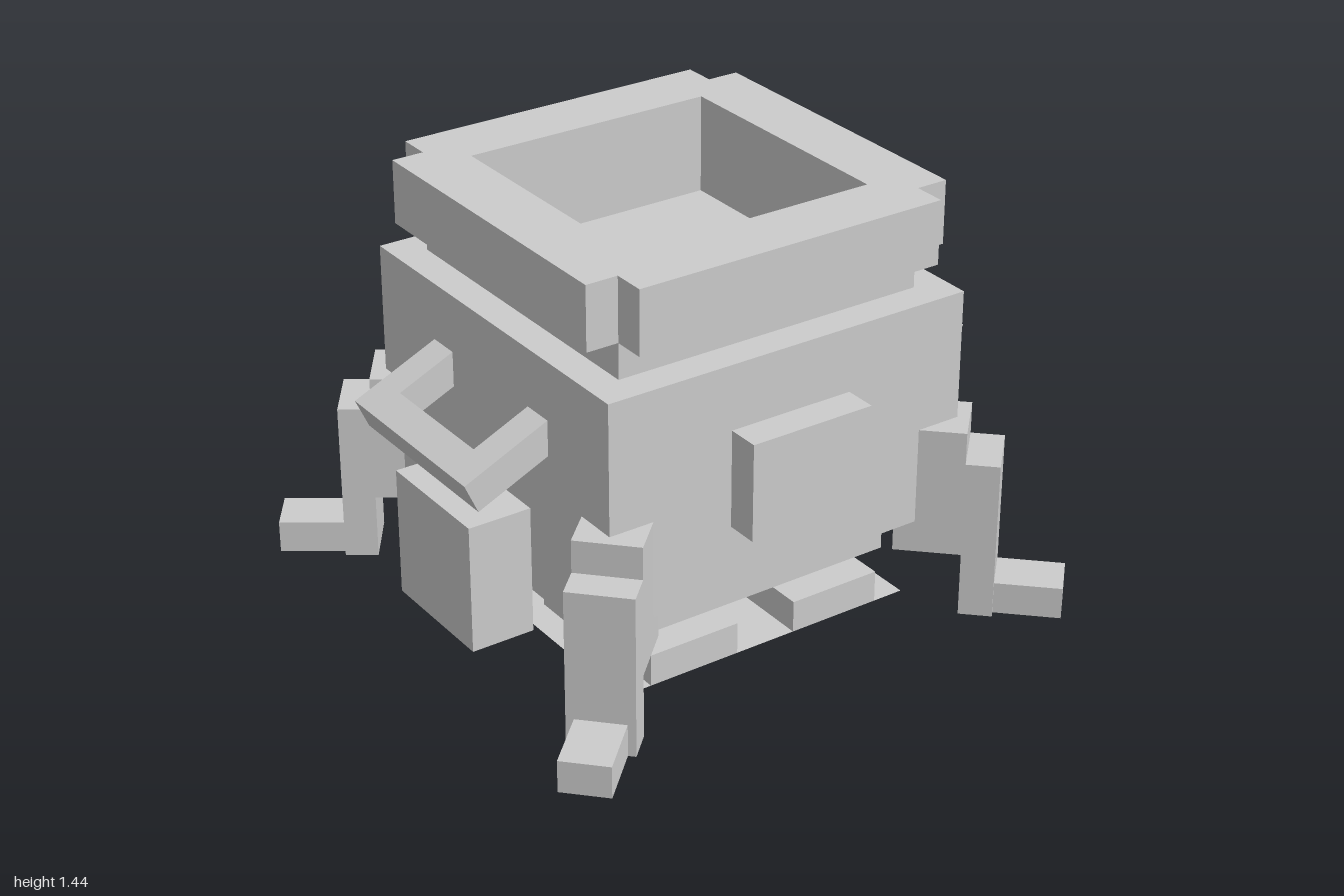
import * as THREE from 'three';

export function createModel() {
  const model = new THREE.Group();
  const grey = new THREE.MeshStandardMaterial({ color: 0xcccccc });
  grey.name = 'lightGrey';
  const greySheet = new THREE.MeshStandardMaterial({ color: 0xcccccc, side: THREE.DoubleSide });
  greySheet.name = 'lightGreySheet';

  // Box given by its minimum and maximum corners
  function box(name, parent, [x0, y0, z0], [x1, y1, z1]) {
    const mesh = new THREE.Mesh(new THREE.BoxGeometry(x1 - x0, y1 - y0, z1 - z0), grey);
    mesh.position.set((x0 + x1) / 2, (y0 + y1) / 2, (z0 + z1) / 2);
    mesh.name = name;
    parent.add(mesh);
    return mesh;
  }

  // Horizontal slab from a plan outline, standing on height y
  const outline = (pts) => pts.map(([x, y]) => new THREE.Vector2(x, y));
  function slab(name, parent, pts, hole, y, height) {
    const shape = new THREE.Shape(outline(pts));
    if (hole) shape.holes.push(new THREE.Path(outline(hole)));
    const geo = new THREE.ExtrudeGeometry(shape, { depth: height, bevelEnabled: false });
    geo.rotateX(-Math.PI / 2);
    const mesh = new THREE.Mesh(geo, grey);
    mesh.position.y = y;
    mesh.name = name;
    parent.add(mesh);
  }
  const square = (r) => [[-r, -r], [r, -r], [r, r], [-r, r]];

  // Pot: body, open neck and rim with notched corners
  const pot = new THREE.Group();
  pot.name = 'pot';
  pot.position.z = -0.01;
  model.add(pot);
  box('body', pot, [-0.66, 0.33, -0.66], [0.66, 1.1, 0.66]);
  box('frontPanel', pot, [-0.22, 0.55, 0.66], [0.22, 0.88, 0.77]);
  slab('neck', pot, square(0.55), square(0.44), 1.1, 0.12);
  const a = 0.66, b = 0.55;
  slab('rim', pot, [
    [-b, -a], [b, -a], [b, -b], [a, -b], [a, b], [b, b],
    [b, a], [-b, a], [-b, b], [-a, b], [-a, -b], [-b, -b],
  ], square(0.44), 1.22, 0.215);

  // Side boxes and sloping U-shaped handles
  for (const [side, turn] of [['left', 0], ['right', Math.PI]]) {
    const group = new THREE.Group();
    group.name = side + 'Side';
    group.rotation.y = turn;
    pot.add(group);
    box(side + 'SideBox', group, [0.66, 0.11, -0.22], [0.88, 0.55, 0.22]);
    const handle = new THREE.Group();
    handle.name = side + 'Handle';
    handle.position.set(0.93, 0.72, 0);
    handle.rotation.z = -0.425;
    group.add(handle);
    slab(side + 'HandleGrip', handle, [
      [0, -0.33], [0, 0.33], [-0.36, 0.33], [-0.36, 0.22],
      [-0.11, 0.22], [-0.11, -0.22], [-0.36, -0.22], [-0.36, -0.33],
    ], null, -0.055, 0.11);
  }

  // Crossed logs on a thin ground sheet
  for (const s of [-1, 1]) {
    const c = s * 0.275;
    box('lowerLog', pot, [c - 0.165, 0, -0.55], [c + 0.165, 0.11, 0.55]);
    box('upperLog', pot, [-0.55, 0.11, c - 0.165], [0.55, 0.22, c + 0.165]);
  }
  const sheet = new THREE.Mesh(new THREE.PlaneGeometry(1.1, 1.1).rotateX(-Math.PI / 2), greySheet);
  sheet.name = 'groundSheet';
  pot.add(sheet);

  // Splayed legs: hip, shin and a narrower foot, running outward along local x
  function leg(name, x, z, angle) {
    const group = new THREE.Group();
    group.name = name;
    group.position.set(x, 0, z);
    group.rotation.y = angle;
    box(name + 'Hip', group, [0, 0.22, -0.108], [0.22, 0.66, 0.108]);
    box(name + 'Shin', group, [0.22, 0, -0.108], [0.33, 0.55, 0.108]);
    box(name + 'Foot', group, [0.33, 0, -0.082], [0.55, 0.11, 0.082]);
    model.add(group);
  }
  const front = -0.77, back = 0.602;
  leg('frontLeftLeg', 0.53, 0.525, front);
  leg('frontRightLeg', -0.53, 0.525, Math.PI - front);
  leg('backLeftLeg', 0.502, -0.595, back);
  leg('backRightLeg', -0.502, -0.595, Math.PI - back);

  return model;
}
